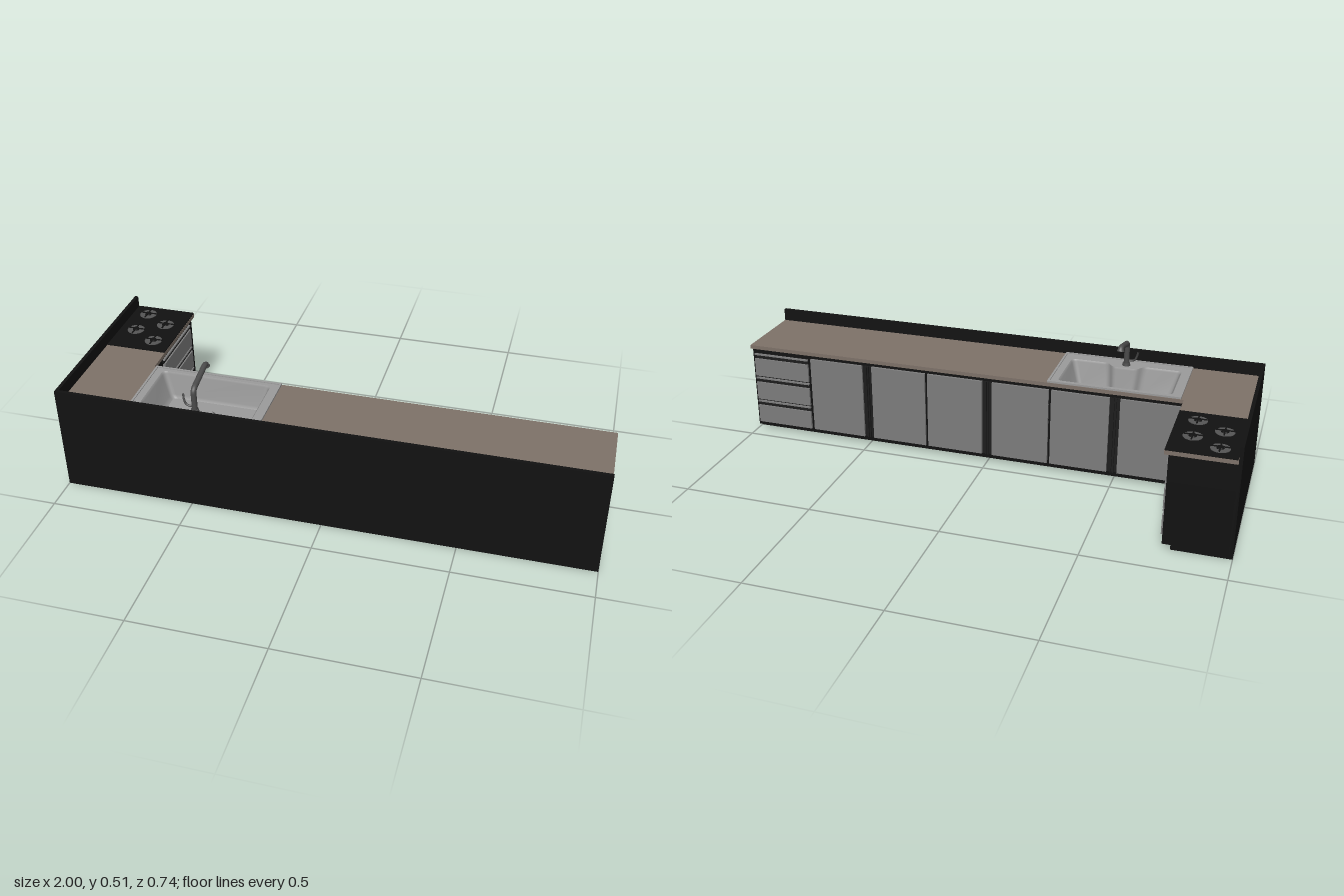
import * as THREE from 'three';

const mat = (color, side = THREE.FrontSide) =>
  new THREE.MeshStandardMaterial({ color, side });
const BLACK = mat(0x111111), GAP = mat(0x1c1c1c), PANEL = mat(0x7c7c7c);
const STONE = mat(0x7d7168), STEEL = mat(0x9a9a9a, THREE.DoubleSide);
const TAP = mat(0x4a4a4a), IRON = mat(0x555555);

function add(parent, name, geometry, material, x = 0, y = 0, z = 0) {
  const mesh = new THREE.Mesh(geometry, material);
  mesh.name = name;
  mesh.position.set(x, y, z);
  parent.add(mesh);
  return mesh;
}

// Box given by its limits on each axis
function box(parent, name, material, x0, x1, y0, y1, z0, z1) {
  return add(parent, name, new THREE.BoxGeometry(x1 - x0, y1 - y0, z1 - z0), material,
    (x0 + x1) / 2, (y0 + y1) / 2, (z0 + z1) / 2);
}

const polygon = pts => new THREE.Shape(pts.map(p => new THREE.Vector2(...p)));

// Plan outline in (x, z), extruded between two heights
function slab(parent, name, material, shape, y0, y1) {
  const g = new THREE.ExtrudeGeometry(shape, { depth: y1 - y0, bevelEnabled: false });
  g.rotateX(Math.PI / 2);
  return add(parent, name, g, material, 0, y1, 0);
}

// L-shaped plan: long run along the wall plus the short leg
const lPlan = (right, front, legX, legEnd) => polygon([
  [-0.99, 0.36], [right, 0.36], [right, front], [legX, front], [legX, legEnd], [-0.99, legEnd]]);

const rectHole = (x0, x1, z0, z1) =>
  new THREE.Path([[x0, z0], [x0, z1], [x1, z1], [x1, z0]].map(p => new THREE.Vector2(...p)));

// Three drawers with a grip channel at the top of each, facing local +z
function drawers(width) {
  const g = new THREE.Group();
  g.name = 'drawerStack';
  const h = width / 2;
  box(g, 'drawerRecess', GAP, -h, h, 0.035, 0.338, 0, 0.002);
  [0.035, 0.138, 0.241].forEach((y, i) => {
    const top = i === 0 ? 0.11 : y + 0.075;
    box(g, 'drawerFront', PANEL, -h, h, y, top, 0, 0.01);
    box(g, 'drawerGripChannel', GAP, -h, h, top, top + 0.015, 0, 0.004);
    box(g, 'drawerTopLip', PANEL, -h, h, top + 0.015, top + 0.021, 0, 0.01);
  });
  return g;
}

// Pair of doors meeting at a vertical grip channel, facing local +z
function doorPair(width) {
  const g = new THREE.Group();
  g.name = 'doorPair';
  const h = width / 2;
  box(g, 'doorRecess', GAP, -h, h, 0.035, 0.342, 0, 0.002);
  for (const s of [-1, 1]) {
    const span = (a, b) => [Math.min(s * a, s * b), Math.max(s * a, s * b)];
    box(g, 'door', PANEL, ...span(0.02, h), 0.035, 0.342, 0, 0.01);
    box(g, 'doorGripLip', GAP, ...span(0.002, 0.007), 0.035, 0.342, 0, 0.01);
  }
  return g;
}

// Basin outline with a ledge for the tap, shrunk towards the basin centre
const CX = -0.485, CZ = 0.18;
function basinOutline(s) {
  const shape = new THREE.Shape();
  const P = (x, z) => [CX + x * s, CZ + (z - CZ) * s];
  const w = 0.215, r = 0.02, back = 0.075, front = 0.30;
  shape.moveTo(...P(-w + r, back));
  shape.lineTo(...P(w - r, back));
  shape.quadraticCurveTo(...P(w, back), ...P(w, back + r));
  shape.lineTo(...P(w, front - r));
  shape.quadraticCurveTo(...P(w, front), ...P(w - r, front));
  shape.lineTo(...P(0.085, front));
  shape.bezierCurveTo(...P(0.055, front), ...P(0.06, 0.268), ...P(0.035, 0.268));
  shape.lineTo(...P(-0.035, 0.268));
  shape.bezierCurveTo(...P(-0.06, 0.268), ...P(-0.055, front), ...P(-0.085, front));
  shape.lineTo(...P(-w + r, front));
  shape.quadraticCurveTo(...P(-w, front), ...P(-w, front - r));
  shape.lineTo(...P(-w, back + r));
  shape.quadraticCurveTo(...P(-w, back), ...P(-w + r, back));
  return shape;
}

function sink() {
  const g = new THREE.Group();
  g.name = 'sink';
  const rim = polygon([[-0.735, 0.052], [-0.235, 0.052], [-0.235, 0.353], [-0.735, 0.353]]);
  rim.holes.push(new THREE.Path(basinOutline(1).getPoints(6)));
  slab(g, 'sinkRim', STEEL, rim, 0.37, 0.376);
  // Raised outer border
  for (const x of [-0.735, -0.243]) box(g, 'sinkBorder', STEEL, x, x + 0.008, 0.37, 0.379, 0.052, 0.353);
  for (const z of [0.052, 0.345]) box(g, 'sinkBorder', STEEL, -0.735, -0.235, 0.37, 0.379, z, z + 0.008);

  // Basin walls lofted down to the floor
  const rows = [[1, 0.376], [0.97, 0.368], [0.86, 0.285], [0.8, 0.272]];
  const pos = [], idx = [];
  let n = 0;
  rows.forEach(([s, y]) => {
    const pts = basinOutline(s).getPoints(6);
    n = pts.length;
    pts.forEach(p => pos.push(p.x, y, p.y));
  });
  for (let r = 0; r < rows.length - 1; r++) {
    for (let i = 0; i < n - 1; i++) {
      const a = r * n + i, b = a + n;
      idx.push(a, a + 1, b, a + 1, b + 1, b);
    }
  }
  const wall = new THREE.BufferGeometry();
  wall.setAttribute('position', new THREE.Float32BufferAttribute(pos, 3));
  wall.setIndex(idx);
  wall.computeVertexNormals();
  add(g, 'basinWall', wall, STEEL);
  slab(g, 'basinFloor', STEEL, basinOutline(0.8), 0.268, 0.272);
  add(g, 'drain', new THREE.CylinderGeometry(0.02, 0.02, 0.004, 24), TAP, CX, 0.273, 0.17);
  return g;
}

function tap() {
  const g = new THREE.Group();
  g.name = 'tap';
  const v = (y, z) => new THREE.Vector3(CX, y, z);
  const path = new THREE.CurvePath();
  path.add(new THREE.LineCurve3(v(0.372, 0.30), v(0.45, 0.30)));
  path.add(new THREE.QuadraticBezierCurve3(v(0.45, 0.30), v(0.47, 0.30), v(0.474, 0.272)));
  path.add(new THREE.LineCurve3(v(0.474, 0.272), v(0.495, 0.185)));
  path.add(new THREE.QuadraticBezierCurve3(v(0.495, 0.185), v(0.499, 0.168), v(0.487, 0.163)));
  add(g, 'spoutPipe', new THREE.TubeGeometry(path, 60, 0.0105, 16), TAP);
  const head = add(g, 'spoutHead', new THREE.CylinderGeometry(0.01, 0.014, 0.012, 20), TAP, CX, 0.491, 0.165);
  head.rotation.x = 0.25;
  add(g, 'tapBase', new THREE.CylinderGeometry(0.014, 0.016, 0.012, 20), TAP, CX, 0.38, 0.30);
  const lever = new THREE.CatmullRomCurve3([[CX, 0.395, 0.30], [-0.515, 0.4, 0.3], [-0.525, 0.418, 0.297],
    [-0.53, 0.44, 0.29]].map(p => new THREE.Vector3(...p)));
  add(g, 'tapLever', new THREE.TubeGeometry(lever, 16, 0.004, 8), TAP);
  return g;
}

function hob() {
  const g = new THREE.Group();
  g.name = 'hob';
  box(g, 'hobPlate', BLACK, -0.985, -0.746, 0.37, 0.377, -0.369, -0.052);
  for (const [x, z] of [[-0.92, -0.31], [-0.82, -0.247], [-0.92, -0.183], [-0.82, -0.12]]) {
    const burner = new THREE.Group();
    burner.name = 'burner';
    burner.position.set(x, 0.377, z);
    g.add(burner);
    add(burner, 'burnerDish', new THREE.CylinderGeometry(0.034, 0.034, 0.002, 28), IRON, 0, 0.001, 0);
    add(burner, 'burnerCap', new THREE.CylinderGeometry(0.012, 0.014, 0.006, 20), BLACK, 0, 0.004, 0);
    for (let i = 0; i < 4; i++) {
      const arm = new THREE.BoxGeometry(0.027, 0.003, 0.005);
      arm.translate(0.024, 0.0075, 0);
      add(burner, 'grateArm', arm, BLACK).rotation.y = i * Math.PI / 2;
    }
  }
  return g;
}

export function createModel() {
  const model = new THREE.Group();
  model.name = 'cornerKitchen';

  // Back panels rising behind the worktop
  box(model, 'longBackPanel', BLACK, -1, 1, 0, 0.42, 0.357, 0.37);
  box(model, 'shortBackPanel', BLACK, -1, -0.987, 0, 0.42, -0.37, 0.357);

  // Plinth, cabinets and worktop, open where the basin drops in
  slab(model, 'plinth', BLACK, lPlan(0.995, 0.09, -0.79, -0.37), 0, 0.018);
  slab(model, 'lowerCabinets', BLACK, lPlan(0.995, 0.06, -0.76, -0.37), 0.018, 0.26);
  const upper = lPlan(0.995, 0.06, -0.76, -0.37);
  upper.holes.push(rectHole(-0.705, -0.265, 0.068, 0.32));
  slab(model, 'upperCabinets', BLACK, upper, 0.26, 0.357);
  const top = lPlan(1, 0.05, -0.745, -0.37);
  top.holes.push(rectHole(-0.705, -0.265, 0.068, 0.32));
  slab(model, 'worktop', STONE, top, 0.357, 0.372);

  // Fronts of the long run
  const place = (part, x, z, turn) => {
    part.position.set(x, 0, z);
    part.rotation.y = turn;
    model.add(part);
  };
  place(drawers(0.235), 0.868, 0.06, Math.PI);
  for (let i = 0; i < 3; i++) place(doorPair(0.485), 0.495 - i * 0.495, 0.06, Math.PI);

  // Drawers of the short leg
  place(drawers(0.28), -0.76, -0.196, Math.PI / 2);

  model.add(sink(), tap(), hob());
  return model;
}
